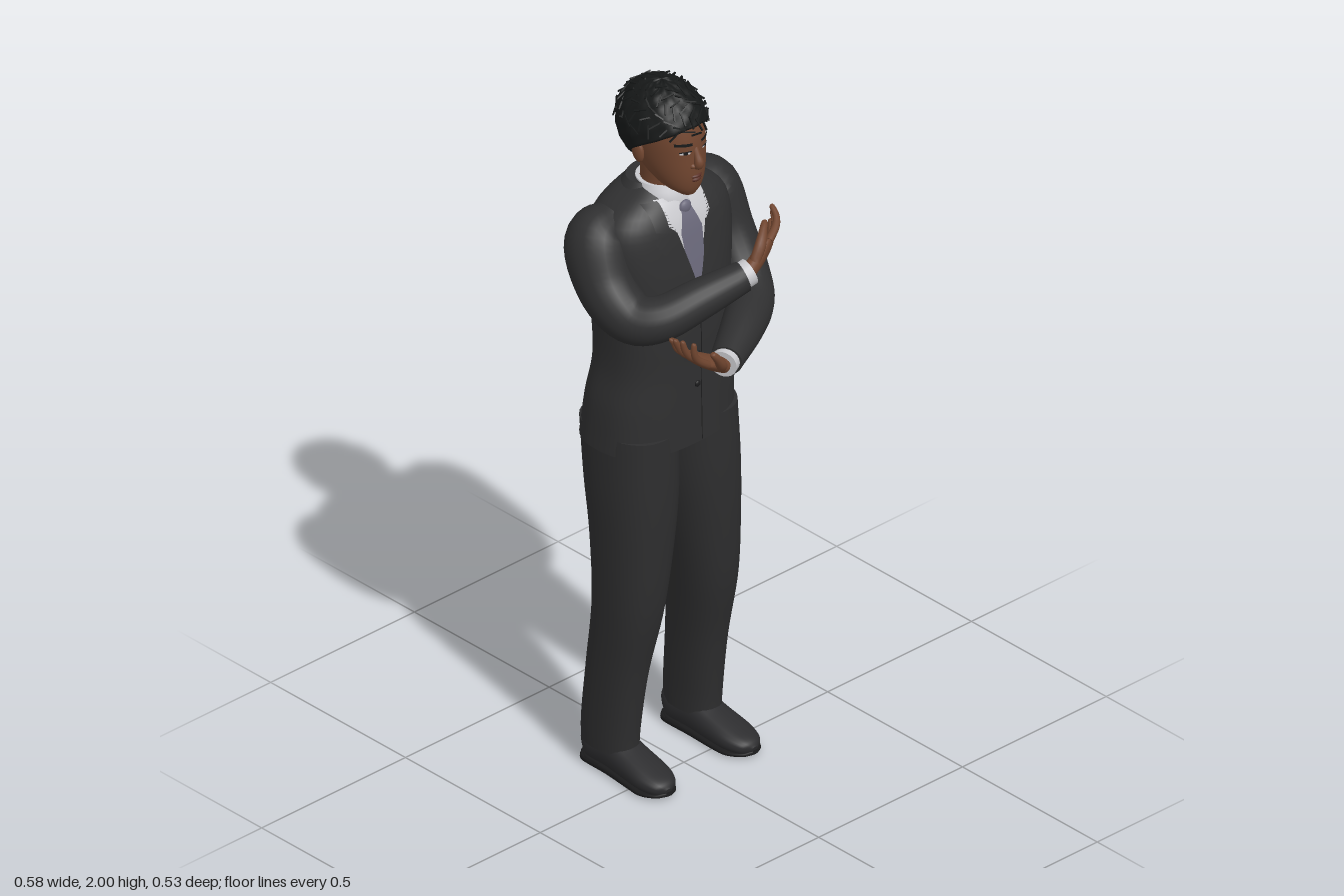
import * as THREE from 'three';
import { mergeGeometries } from 'three/addons/utils/BufferGeometryUtils.js';

const V = (x, y, z) => new THREE.Vector3(x, y, z);
const COLORS = {
  suit: 0x2f2f30, trousers: 0x2d2d2e, shoe: 0x2c2c2e, trim: 0x1b1b1c, hair: 0x161818,
  skin: 0x70452f, lip: 0x5a3026, shirt: 0xc8c8cc, tie: 0x6a687a,
};

// Smooth lookup in a table whose rows are [key, ...values]
function lookup(table, k) {
  const last = table.length - 1;
  let i = 0;
  while (i < last - 1 && k > table[i + 1][0]) i++;
  const a = table[i], b = table[i + 1], pa = table[Math.max(i - 1, 0)], nb = table[Math.min(i + 2, last)];
  const h = b[0] - a[0], t = THREE.MathUtils.clamp((k - a[0]) / h, 0, 1), s = t * t, c = s * t;
  return a.slice(1).map((v, j) => {
    const w = b[j + 1];
    const m0 = (w - pa[j + 1]) / (b[0] - pa[0]) * h, m1 = (nb[j + 1] - v) / (nb[0] - a[0]) * h;
    return (2 * c - 3 * s + 1) * v + (c - 2 * s + t) * m0 + (3 * s - 2 * c) * w + (c - s) * m1;
  });
}

// Closed skin over superelliptic rings {c, W, N, rw, rn}
function skinRings(rings, n, p) {
  const pos = [], idx = [];
  const pw = v => Math.sign(v) * Math.abs(v) ** (2 / p);
  const addRing = r => {
    for (let j = 0; j < n; j++) {
      const a = j / n * Math.PI * 2;
      const q = r.c.clone().addScaledVector(r.W, r.rw * pw(Math.cos(a))).addScaledVector(r.N, r.rn * pw(Math.sin(a)));
      pos.push(q.x, q.y, q.z);
    }
  };
  rings.forEach(addRing);
  for (let i = 0; i < rings.length - 1; i++) for (let j = 0; j < n; j++) {
    const a = i * n + j, b = i * n + (j + 1) % n;
    idx.push(a, b, a + n, b, b + n, a + n);
  }
  [rings[0], rings[rings.length - 1]].forEach((r, e) => {
    const s = pos.length / 3;
    addRing(r);
    pos.push(r.c.x, r.c.y, r.c.z);
    for (let j = 0; j < n; j++) {
      const a = s + j, b = s + (j + 1) % n;
      idx.push(...(e ? [a, b, s + n] : [b, a, s + n]));
    }
  });
  const g = new THREE.BufferGeometry();
  g.setAttribute('position', new THREE.Float32BufferAttribute(pos, 3));
  g.setIndex(idx);
  g.computeVertexNormals();
  return g;
}

// Upright body from rows [y, cx, cz, rx, rz]
function loft(table, p = 2, n = 36, steps = 28) {
  const y0 = table[0][0], y1 = table[table.length - 1][0];
  return skinRings(Array.from({ length: steps + 1 }, (_, i) => {
    const y = y0 + (y1 - y0) * i / steps, [cx, cz, rw, rn] = lookup(table, y);
    return { c: V(cx, y, cz), W: V(-1, 0, 0), N: V(0, 0, 1), rw, rn };
  }), n, p);
}

// Bent limb through points [x, y, z, halfWidth, halfThickness]; up is the thickness direction
function limb(pts, up, p = 2, n = 20, steps = 6) {
  const table = pts.map((q, i) => [i, q[0], q[1], q[2], q[3], q[4] ?? q[3]]);
  const m = (pts.length - 1) * steps;
  const s = Array.from({ length: m + 1 }, (_, i) => lookup(table, i / steps));
  const c = s.map(q => V(q[0], q[1], q[2]));
  return skinRings(s.map((q, i) => {
    const T = c[Math.min(i + 1, m)].clone().sub(c[Math.max(i - 1, 0)]).normalize();
    const W = up.clone().cross(T).normalize();
    return { c: c[i], W, N: T.clone().cross(W), rw: q[3], rn: q[4] };
  }), n, p);
}

// Thin quad laid over the front (side 1) or back (side -1) of a loft; corners are counterclockwise [x, y]
function patch(table, p, corners, off, side = 1, n = 10) {
  const g = new THREE.PlaneGeometry(1, 1, n, n), a = g.attributes.position;
  const [A, B, C, D] = corners;
  for (let i = 0; i < a.count; i++) {
    const u = a.getX(i) + 0.5, v = a.getY(i) + 0.5;
    const [x, y] = [0, 1].map(k => (A[k] * (1 - u) + B[k] * u) * (1 - v) + (D[k] * (1 - u) + C[k] * u) * v);
    const [cx, cz, rx, rz] = lookup(table, y);
    const e = Math.min(Math.abs((x - cx) / rx), 1);
    a.setXYZ(i, x, y, cz + side * (rz * (1 - e ** p) ** (1 / p) + off));
  }
  g.computeVertexNormals();
  return g;
}

const JACKET = [
  [0.975, 0, -0.1, 0.212, 0.15], [1.1, 0, -0.092, 0.203, 0.142], [1.2, 0, -0.085, 0.186, 0.135],
  [1.3, 0, -0.085, 0.186, 0.138], [1.45, 0, -0.092, 0.2, 0.137], [1.55, 0, -0.098, 0.212, 0.128],
  [1.62, 0, -0.1, 0.2, 0.115], [1.66, 0, -0.103, 0.165, 0.1], [1.695, 0, -0.105, 0.1, 0.078], [1.71, 0, -0.105, 0.07, 0.06]];
const LEG = [
  [0.07, 0.143, -0.12, 0.055, 0.086], [0.12, 0.143, -0.12, 0.056, 0.088], [0.3, 0.138, -0.1, 0.063, 0.09],
  [0.5, 0.128, -0.07, 0.078, 0.1], [0.7, 0.115, -0.07, 0.094, 0.115], [0.85, 0.107, -0.081, 0.104, 0.129], [1.02, 0.103, -0.095, 0.103, 0.138]];
const HEAD = [
  [1.707, 0, 0.008, 0.022, 0.026], [1.728, 0, -0.012, 0.048, 0.056], [1.765, 0, -0.038, 0.068, 0.088], [1.82, 0, -0.06, 0.081, 0.109],
  [1.88, 0, -0.071, 0.085, 0.114], [1.94, 0, -0.08, 0.078, 0.1], [1.98, 0, -0.085, 0.045, 0.06]];

export function createModel() {
  const model = new THREE.Group();
  const mats = {};
  for (const [name, color] of Object.entries(COLORS)) {
    mats[name] = new THREE.MeshStandardMaterial({ color, side: THREE.DoubleSide });
    mats[name].name = name;
  }
  const add = (name, mat, geo) => {
    const m = new THREE.Mesh(geo, mats[mat]);
    m.name = name;
    model.add(m);
    return m;
  };
  const ball = (name, mat, x, y, z, a, b, c) => {
    const m = add(name, mat, new THREE.SphereGeometry(1, 20, 14));
    m.position.set(x, y, z);
    m.scale.set(a, b, c);
    return m;
  };
  // Corners mirrored to side s, kept counterclockwise
  const flip = (q, s) => s > 0 ? q : q.map(([x, y]) => [-x, y]).reverse();
  const UP = V(0, 1, 0);

  // Jacket body, shirt front and tie
  add('jacket', 'suit', loft(JACKET, 2.5, 48, 40));
  add('jacketCollar', 'suit', loft([[1.66, 0, -0.112, 0.112, 0.08], [1.69, 0, -0.113, 0.1, 0.073], [1.715, 0, -0.113, 0.08, 0.06]], 2, 36, 8));
  add('shirtFront', 'shirt', patch(JACKET, 2.5, [[-0.006, 1.46], [0.006, 1.46], [0.078, 1.69], [-0.078, 1.69]], 0.006));
  add('shirtCollar', 'shirt', loft([[1.655, 0, -0.07, 0.08, 0.075], [1.69, 0, -0.075, 0.077, 0.072], [1.718, 0, -0.083, 0.068, 0.066]], 2, 36, 8));
  add('tie', 'tie', patch(JACKET, 2.5, [[-0.026, 1.46], [0.026, 1.46], [0.036, 1.6], [-0.036, 1.6]], 0.009));
  add('tieTop', 'tie', patch(JACKET, 2.5, [[-0.036, 1.6], [0.036, 1.6], [0.015, 1.66], [-0.015, 1.66]], 0.009));
  ball('tieKnot', 'tie', 0, 1.655, 0.003, 0.02, 0.02, 0.012);
  for (const s of [1, -1]) {
    add('collarPoint', 'shirt', patch(JACKET, 2.5, flip([[0.05, 1.61], [0.07, 1.63], [0.07, 1.685], [0.012, 1.68]], s), 0.012));
    add('lapel', 'suit', patch(JACKET, 2.5, flip([[0.0, 1.43], [0.02, 1.43], [0.125, 1.61], [0.05, 1.61]], s), 0.012));
    add('upperLapel', 'suit', patch(JACKET, 2.5, flip([[0.052, 1.61], [0.11, 1.625], [0.11, 1.685], [0.072, 1.69]], s), 0.012));
    add('pocketFlap', 'suit', patch(JACKET, 2.5, flip([[0.09, 1.085], [0.18, 1.1], [0.18, 1.135], [0.09, 1.125]], s), 0.006));
  }
  add('frontOpening', 'trim', patch(JACKET, 2.5, [[0.014, 0.98], [0.017, 0.98], [0.008, 1.43], [0.005, 1.43]], 0.002));
  add('backVent', 'trim', patch(JACKET, 2.5, [[-0.004, 0.98], [0.004, 0.98], [0.001, 1.16], [-0.001, 1.16]], 0.002, -1));
  for (const y of [1.24, 1.15]) ball('button', 'trim', 0, y, 0.051, 0.009, 0.009, 0.005);

  // Sleeves and cuffs
  add('leftSleeve', 'suit', limb([[0.13, 1.625, -0.12, 0.055], [0.19, 1.58, -0.118, 0.085], [0.212, 1.47, -0.07, 0.073],
    [0.205, 1.375, 0, 0.068], [0.165, 1.335, 0.07, 0.062], [0.07, 1.325, 0.14, 0.056], [-0.05, 1.31, 0.21, 0.043]], V(-0.37, -0.51, -0.68)));
  add('rightSleeve', 'suit', limb([[-0.13, 1.625, -0.12, 0.055], [-0.19, 1.58, -0.118, 0.085], [-0.215, 1.48, -0.06, 0.076],
    [-0.205, 1.42, 0.02, 0.069], [-0.16, 1.425, 0.085, 0.06], [-0.06, 1.465, 0.13, 0.053], [0.05, 1.5, 0.167, 0.041]], V(0.37, -0.51, -0.68)));
  add('leftCuff', 'shirt', limb([[-0.03, 1.312, 0.2, 0.037], [-0.068, 1.31, 0.218, 0.037]], UP));
  add('rightCuff', 'shirt', limb([[0.03, 1.495, 0.162, 0.036], [0.07, 1.508, 0.17, 0.036]], UP));

  // Hands: X runs along the fingers, Y out of the palm, Z towards the thumb
  const hand = (side, o, X, Y, Z) => {
    [X, Y, Z].forEach(v => v.normalize());
    const at = ([a, b, c, ...r]) => [...o.clone().addScaledVector(X, a).addScaledVector(Y, b).addScaledVector(Z, c).toArray(), ...r];
    const parts = [limb([[-0.01, 0, 0, 0.025, 0.02], [0.03, 0, 0, 0.033, 0.02], [0.07, 0, 0, 0.044, 0.017],
      [0.1, 0, 0, 0.041, 0.012], [0.112, 0, 0, 0.03, 0.005]].map(at), Y)];
    [0.075, 0.085, 0.08, 0.062].forEach((len, i) => {
      const c = 0.034 - 0.0225 * i, d = 1 + 0.25 * (1 - i * 0.67);
      parts.push(limb([[0.085, 0, c, 0.011], [0.1 + len * 0.4, 0.006, c * 1.15, 0.0105], [0.1 + len * 0.75, 0.02, c * 1.25, 0.009],
        [0.1 + len * 0.97, 0.035 * d, c * 1.28, 0.007], [0.1 + len, 0.039 * d, c * 1.28, 0.002]].map(at), Z, 2, 10, 4));
    });
    parts.push(limb([[0.015, 0, 0.018, 0.014], [0.05, 0.01, 0.045, 0.015], [0.085, 0.025, 0.056, 0.011],
      [0.108, 0.034, 0.057, 0.008], [0.112, 0.036, 0.057, 0.002]].map(at), Y, 2, 10, 4));
    add(side + 'Hand', 'skin', mergeGeometries(parts));
  };
  hand('left', V(-0.075, 1.312, 0.217), V(-0.85, 0.5, -0.05), V(0.5, 0.85, 0), V(0, 0, 1));
  hand('right', V(0.075, 1.508, 0.165), V(0.88, 0.22, -0.3), V(-0.28, 0.42, -0.87), V(-0.07, 0.87, 0.45));

  // Trousers and shoes
  for (const s of [1, -1]) {
    const side = s > 0 ? 'left' : 'right';
    add(side + 'TrouserLeg', 'trousers', loft(LEG.map(([y, x, ...r]) => [y, x * s, ...r]), 2.3));
    const row = q => [q[0] * s, ...q.slice(1)];
    add(side + 'Shoe', 'shoe', limb([[0.14, 0.045, -0.203, 0.022, 0.03], [0.14, 0.053, -0.175, 0.047, 0.047], [0.141, 0.056, -0.1, 0.05, 0.05],
      [0.143, 0.045, -0.03, 0.053, 0.04], [0.146, 0.034, 0.04, 0.054, 0.029], [0.149, 0.026, 0.085, 0.038, 0.021],
      [0.15, 0.022, 0.103, 0.01, 0.008]].map(row), UP, 2.4));
    add(side + 'Sole', 'trim', limb([[0.14, 0.01, -0.206, 0.025, 0.01], [0.14, 0.01, -0.18, 0.047, 0.01], [0.141, 0.01, -0.09, 0.049, 0.01],
      [0.144, 0.009, 0, 0.055, 0.008], [0.147, 0.009, 0.05, 0.055, 0.007], [0.149, 0.012, 0.09, 0.036, 0.006], [0.15, 0.015, 0.106, 0.01, 0.005]].map(row), UP, 4));
    add(side + 'Heel', 'trim', limb([[0.14, 0.011, -0.2, 0.03, 0.011], [0.14, 0.011, -0.17, 0.046, 0.011], [0.141, 0.011, -0.12, 0.047, 0.011]].map(row), UP, 4));
  }

  // Neck, head and face
  add('neck', 'skin', loft([[1.64, 0, -0.085, 0.065, 0.065], [1.72, 0, -0.078, 0.058, 0.06], [1.8, 0, -0.075, 0.06, 0.066]], 2, 28, 10));
  add('head', 'skin', loft(HEAD, 2.15, 40, 36));
  add('nose', 'skin', limb([[0, 1.858, 0.034, 0.009], [0, 1.83, 0.048, 0.01], [0, 1.808, 0.056, 0.013], [0, 1.797, 0.049, 0.011], [0, 1.793, 0.042, 0.004]], V(0, 0, 1), 2, 14, 5));
  const lips = (name, y, h, w) => add(name, 'lip', limb([[-w, y - 0.002, 0.03, 0.002], [-w / 2, y, 0.043, h, 0.006], [0, y, 0.048, h, 0.007],
    [w / 2, y, 0.043, h, 0.006], [w, y - 0.002, 0.03, 0.002]], V(0, 0, 1), 2, 12, 5));
  lips('upperLip', 1.768, 0.005, 0.028);
  lips('lowerLip', 1.758, 0.006, 0.024);
  for (const s of [1, -1]) {
    ball('nostril', 'skin', s * 0.013, 1.8, 0.044, 0.009, 0.008, 0.011);
    ball('ear', 'skin', s * 0.087, 1.822, -0.078, 0.011, 0.032, 0.02).rotation.x = -0.2;
    const box = (x, y, w, h, tilt = 0) => flip([[x - w, y - h], [x + w, y - h - tilt], [x + w, y + h - tilt], [x - w, y + h]], s);
    add('eyeWhite', 'shirt', patch(HEAD, 2.15, box(0.034, 1.843, 0.013, 0.0035), 0.002));
    add('iris', 'trim', patch(HEAD, 2.15, box(0.034, 1.843, 0.005, 0.004), 0.003));
    add('upperLid', 'trim', patch(HEAD, 2.15, box(0.034, 1.848, 0.015, 0.0015, 0.001), 0.004));
    add('eyebrow', 'hair', patch(HEAD, 2.15, box(0.036, 1.866, 0.021, 0.004, -0.002), 0.004));
  }

  // Hair cap with a hairline that drops from the forehead to the nape
  const hairline = [[0, 1.778], [0.3, 1.787], [0.5, 1.83], [0.75, 1.872], [1, 1.908]];
  const cap = new THREE.SphereGeometry(1, 64, 32), pos = cap.attributes.position, uv = cap.attributes.uv;
  for (let i = 0; i < pos.count; i++) {
    const phi = uv.getX(i) * Math.PI * 2, t = 1 - uv.getY(i);
    const yb = lookup(hairline, 0.5 + 0.5 * Math.sin(phi))[0];
    const th = Math.min(t / 0.92, 1) * Math.acos((yb - 1.875) / 0.122);
    const bump = 1 + 0.018 * Math.sin(11 * phi + 5 * th) * Math.sin(13 * th), r = Math.sin(th) * bump * (t > 0.93 ? 0.85 : 1);
    pos.setXYZ(i, -Math.cos(phi) * r * 0.106, 1.875 + Math.cos(th) * 0.122 * bump, -0.083 + Math.sin(phi) * r * 0.132);
  }
  cap.computeVertexNormals();
  add('hair', 'hair', cap);
  // Short loose strands over the crown
  const strands = [], o = new THREE.Object3D();
  for (let i = 0; i < 110; i++) {
    const y = 0.97 - i / 110 * 0.85, a = i * 2.39996, r = Math.sqrt(1 - y * y);
    o.position.set(Math.cos(a) * r * 0.107, 1.875 + y * 0.122, -0.083 + Math.sin(a) * r * 0.133);
    o.lookAt(o.position.x * 2, 1.875 + y * 0.3, -0.083 + Math.sin(a) * r * 0.3);
    o.rotateZ(i * 1.7);
    o.rotateX(0.12);
    o.updateMatrix();
    strands.push(new THREE.BoxGeometry(0.004, 0.036, 0.004).applyMatrix4(o.matrix));
  }
  add('hairStrands', 'hair', mergeGeometries(strands));
  return model;
}
